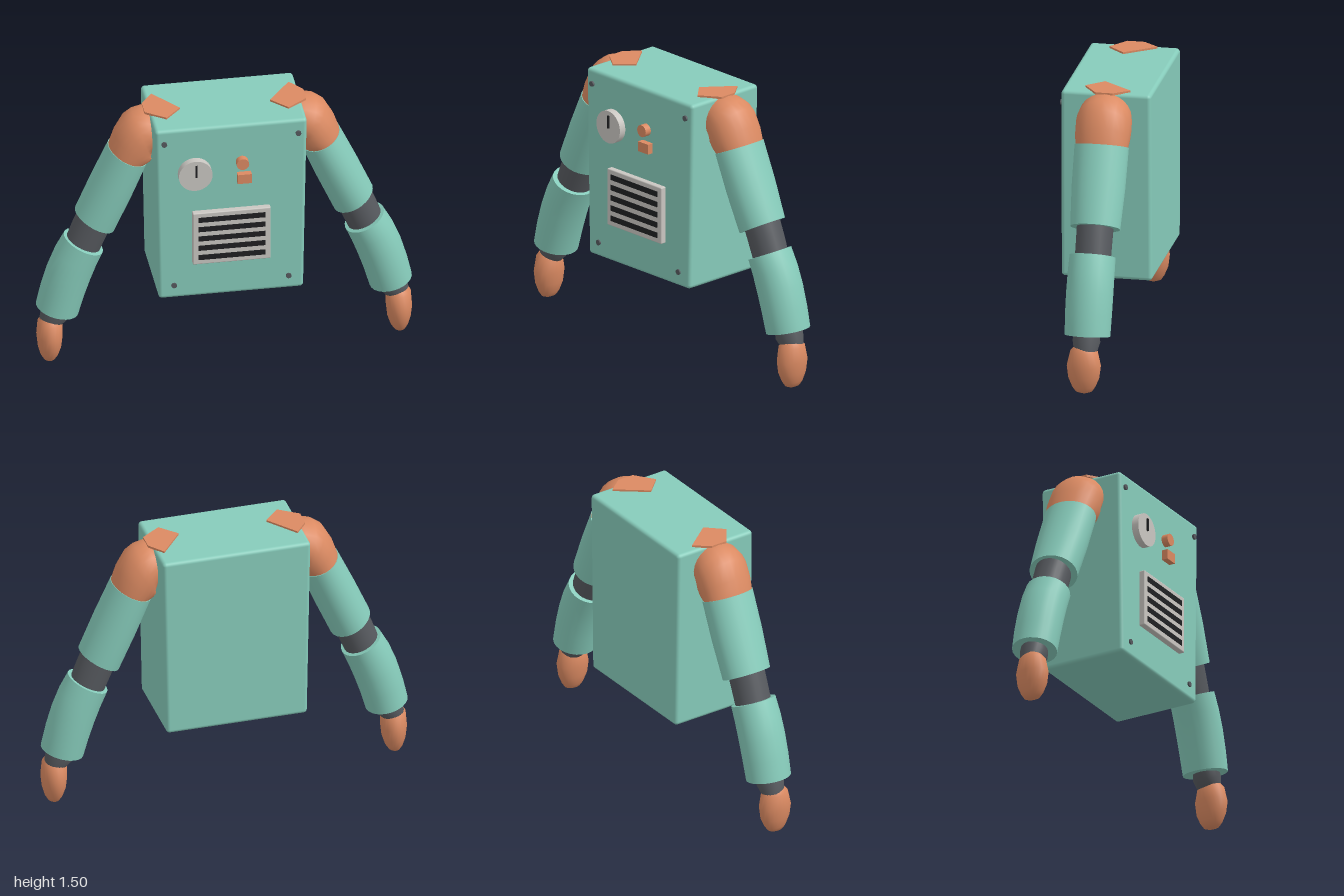
import * as THREE from 'three';
import { toCreasedNormals } from 'three/addons/utils/BufferGeometryUtils.js';
import { RoundedBoxGeometry } from 'three/addons/geometries/RoundedBoxGeometry.js';

const paint = (name, color) => {
  const m = new THREE.MeshStandardMaterial({ color });
  m.name = name;
  return m;
};

// Capped tube through elliptical sections [x, y, tilt, radius, radiusZ];
// side = -1 mirrors it across x.
function loft(sections, side, zc = -0.025, seg = 24) {
  const pos = [], idx = [];
  const tri = (a, b, c) => (side > 0 ? idx.push(a, b, c) : idx.push(a, c, b));
  for (const [x, y, tilt, r, rz] of sections) {
    for (let j = 0; j < seg; j++) {
      const a = (j / seg) * Math.PI * 2, k = r * Math.cos(a);
      pos.push(side * (x + k * Math.cos(tilt)), y + k * Math.sin(tilt), zc + rz * Math.sin(a));
    }
  }
  const n = sections.length, first = sections[0], last = sections[n - 1];
  pos.push(side * first[0], first[1], zc, side * last[0], last[1], zc);
  for (let j = 0; j < seg; j++) {
    const k = (j + 1) % seg;
    for (let i = 0; i < n - 1; i++) {
      const p = i * seg, q = p + seg;
      tri(p + j, p + k, q + j);
      tri(p + k, q + k, q + j);
    }
    tri(n * seg, k, j);
    tri(n * seg + 1, (n - 1) * seg + j, (n - 1) * seg + k);
  }
  const g = new THREE.BufferGeometry();
  g.setAttribute('position', new THREE.Float32BufferAttribute(pos, 3));
  g.setIndex(idx);
  return toCreasedNormals(g, 0.85);
}

export function createModel() {
  const teal = paint('teal', 0x86cbba);
  const orange = paint('orange', 0xdb8a62);
  const dark = paint('dark grey', 0x56595e);
  const grey = paint('light grey', 0xc9c6c1);
  const black = paint('black', 0x1f2022);

  const root = new THREE.Group();
  root.name = 'boxTorsoWithArms';
  const add = (parent, name, geo, mat, x = 0, y = 0, z = 0) => {
    const m = new THREE.Mesh(geo, mat);
    m.name = name;
    m.position.set(x, y, z);
    parent.add(m);
    return m;
  };
  const disc = (r, depth, seg = 32) => new THREE.CylinderGeometry(r, r, depth, seg).rotateX(Math.PI / 2);

  // Torso: rounded box, slightly narrower at the bottom
  const torso = new RoundedBoxGeometry(0.81, 1.035, 0.48, 3, 0.02);
  const p = torso.attributes.position;
  for (let i = 0; i < p.count; i++) {
    const t = 0.5 - p.getY(i) / 1.035;
    p.setX(i, p.getX(i) * (1 - 0.05 * t));
    p.setZ(i, p.getZ(i) * (1 + 0.012 * t));
  }
  add(root, 'torso', torso, teal, 0, 0.9675, -0.025);

  // Front panel: gauge, buttons, vent and corner screws
  const panel = new THREE.Group();
  panel.name = 'frontPanel';
  root.add(panel);
  add(panel, 'gauge', disc(0.09, 0.04), grey, -0.195, 1.215, 0.235);
  add(panel, 'gaugeNeedle', new THREE.BoxGeometry(0.012, 0.07, 0.008), black, -0.192, 1.245, 0.258);
  add(panel, 'roundButton', disc(0.033, 0.045, 20), orange, 0.057, 1.26, 0.23);
  add(panel, 'squareButton', new THREE.BoxGeometry(0.075, 0.055, 0.04), orange, 0.067, 1.168, 0.23);
  add(panel, 'ventFrame', new RoundedBoxGeometry(0.415, 0.315, 0.036, 2, 0.006), grey, -0.002, 0.822, 0.232);
  for (let i = 0; i < 5; i++) {
    add(panel, 'ventSlot', new THREE.BoxGeometry(0.355, 0.03, 0.006), black, -0.002, 0.938 - i * 0.0575, 0.25);
  }
  for (const [x, y] of [[0.357, 1.405], [0.305, 0.53]]) {
    for (const s of [-1, 1]) add(panel, 'screw', disc(0.015, 0.02, 12), dark, s * x, y, 0.216);
  }

  // Arms, mirrored
  for (const side of [1, -1]) {
    const arm = new THREE.Group();
    arm.name = side > 0 ? 'leftArm' : 'rightArm';
    root.add(arm);

    // Shoulder ball and the flap where it reaches over the torso top
    add(arm, 'shoulder', loft([
      [0.34, 1.35, 1.57, 0.12, 0.13], [0.41, 1.36, 1.45, 0.13, 0.14],
      [0.44, 1.343, 1.22, 0.138, 0.147], [0.46, 1.32, 1.0, 0.14, 0.149],
      [0.49, 1.27, 0.7, 0.125, 0.147], [0.515, 1.225, 0.42, 0.108, 0.14],
    ], side), orange);
    const flap = new THREE.Shape([
      [0.43, -0.067], [0.365, -0.15], [0.24, 0.01], [0.325, 0.1], [0.43, 0.025],
    ].map(([x, z]) => new THREE.Vector2(side * x, -z)));
    add(arm, 'shoulderFlap',
      new THREE.ExtrudeGeometry(flap, { depth: 0.012, bevelEnabled: false }).rotateX(-Math.PI / 2),
      orange, 0, 1.483, 0);

    // Sleeves and dark joints
    add(arm, 'upperSleeve', loft([
      [0.5125, 1.2275, 0.42, 0.113, 0.145], [0.6, 1.03, 0.42, 0.118, 0.143],
      [0.6875, 0.8325, 0.5, 0.118, 0.133],
    ], side), teal);
    add(arm, 'elbow', loft([
      [0.67, 0.88, 0.44, 0.098, 0.098], [0.715, 0.775, 0.44, 0.098, 0.096],
      [0.765, 0.65, 0.42, 0.095, 0.095],
    ], side), dark);
    add(arm, 'lowerSleeve', loft([
      [0.7475, 0.695, 0.45, 0.114, 0.122], [0.79, 0.61, 0.4, 0.119, 0.124],
      [0.827, 0.515, 0.34, 0.12, 0.125], [0.86, 0.41, 0.27, 0.118, 0.124],
      [0.8875, 0.3025, 0.24, 0.115, 0.121],
    ], side, -0.023), teal);
    add(arm, 'wrist', loft([
      [0.882, 0.34, 0.35, 0.07, 0.068], [0.9, 0.275, 0.4, 0.078, 0.073],
      [0.925, 0.22, 0.2, 0.06, 0.06],
    ], side, -0.02), dark);

    // Mitten hand
    add(arm, 'hand', loft([
      [0.925, 0.25, 0.1, 0.052, 0.055], [0.927, 0.228, 0.05, 0.066, 0.073],
      [0.93, 0.15, 0, 0.069, 0.091], [0.93, 0.085, 0, 0.062, 0.083],
      [0.931, 0.035, 0, 0.047, 0.062], [0.932, 0.01, 0, 0.032, 0.045],
      [0.932, 0, 0, 0.012, 0.02],
    ], side, -0.012), orange);
  }
  return root;
}
